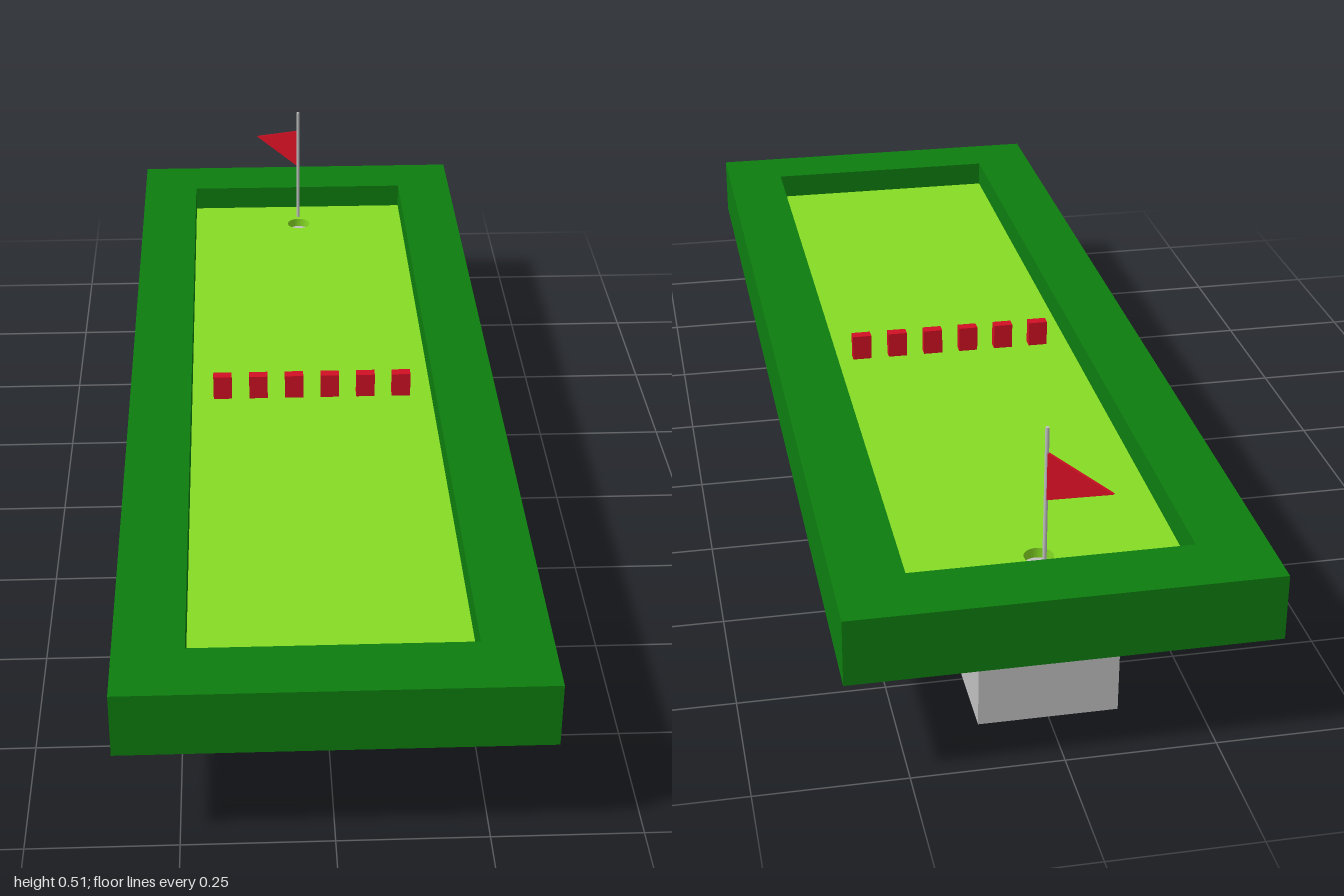
import * as THREE from 'three';

const flat = (name, color) => Object.assign(new THREE.MeshStandardMaterial({ color }), { name });

// Rectangle path centred on the origin
function rectangle(path, w, d) {
  path.moveTo(-w / 2, -d / 2);
  path.lineTo(w / 2, -d / 2);
  path.lineTo(w / 2, d / 2);
  path.lineTo(-w / 2, d / 2);
  path.closePath();
  return path;
}

// Horizontal slab with an opening, standing on its own y = 0
function slab(w, d, height, opening) {
  const shape = rectangle(new THREE.Shape(), w, d);
  shape.holes.push(opening);
  return new THREE.ExtrudeGeometry(shape, { depth: height, bevelEnabled: false, curveSegments: 24 })
    .rotateX(-Math.PI / 2);
}

export function createModel() {
  const group = new THREE.Group();
  const darkGreen = flat('darkGreen', 0x0d7d0f);
  const turfGreen = flat('turfGreen', 0x86db24);
  const grey = flat('grey', 0xc0c0c0);
  const red = flat('red', 0xd01023);

  const add = (name, geometry, material, x, y, z) => {
    const mesh = new THREE.Mesh(geometry, material);
    mesh.name = name;
    mesh.position.set(x, y, z);
    group.add(mesh);
    return mesh;
  };

  const frameBottom = 0.187, frameHeight = 0.116;
  const turfBottom = 0.235, turfHeight = 0.018, turfTop = turfBottom + turfHeight;

  // Raised border, open in the middle
  add('frame', slab(0.704, 2, frameHeight, rectangle(new THREE.Path(), 0.47, 1.764)),
    darkGreen, 0, frameBottom, 0);

  // Recessed putting surface with the hole cut through
  const hole = new THREE.Path().absarc(0, 0.79, 0.025, 0, Math.PI * 2, true);
  add('turf', slab(0.47, 1.764, turfHeight, hole), turfGreen, 0, turfBottom, 0);

  // Support block under the hole
  add('supportBlock', new THREE.BoxGeometry(0.235, turfBottom, 0.232), grey, 0, turfBottom / 2, -0.765);

  // Row of small obstacles across the middle
  const obstacle = new THREE.BoxGeometry(0.036, 0.048, 0.02);
  for (let i = 0; i < 6; i++) {
    add('obstacle', obstacle, red, (i - 2.5) * 0.07, turfTop + 0.024, 0);
  }

  // Flag pole just behind the hole
  const poleTop = 0.51, poleZ = -0.829;
  add('flagPole', new THREE.CylinderGeometry(0.0035, 0.0035, poleTop - turfTop, 16), grey,
    0, (poleTop + turfTop) / 2, poleZ);

  // Pennant swung back and to one side
  const pennant = new THREE.Shape([
    new THREE.Vector2(0, -0.043), new THREE.Vector2(0.118, 0), new THREE.Vector2(0, 0.043),
  ]);
  const flagGeometry = new THREE.ExtrudeGeometry(pennant, { depth: 0.005, bevelEnabled: false })
    .translate(0, 0, -0.0025);
  const flag = add('flag', flagGeometry, red, 0, 0.423, poleZ);
  flag.rotation.y = Math.atan2(0.075, -0.09);

  return group;
}
